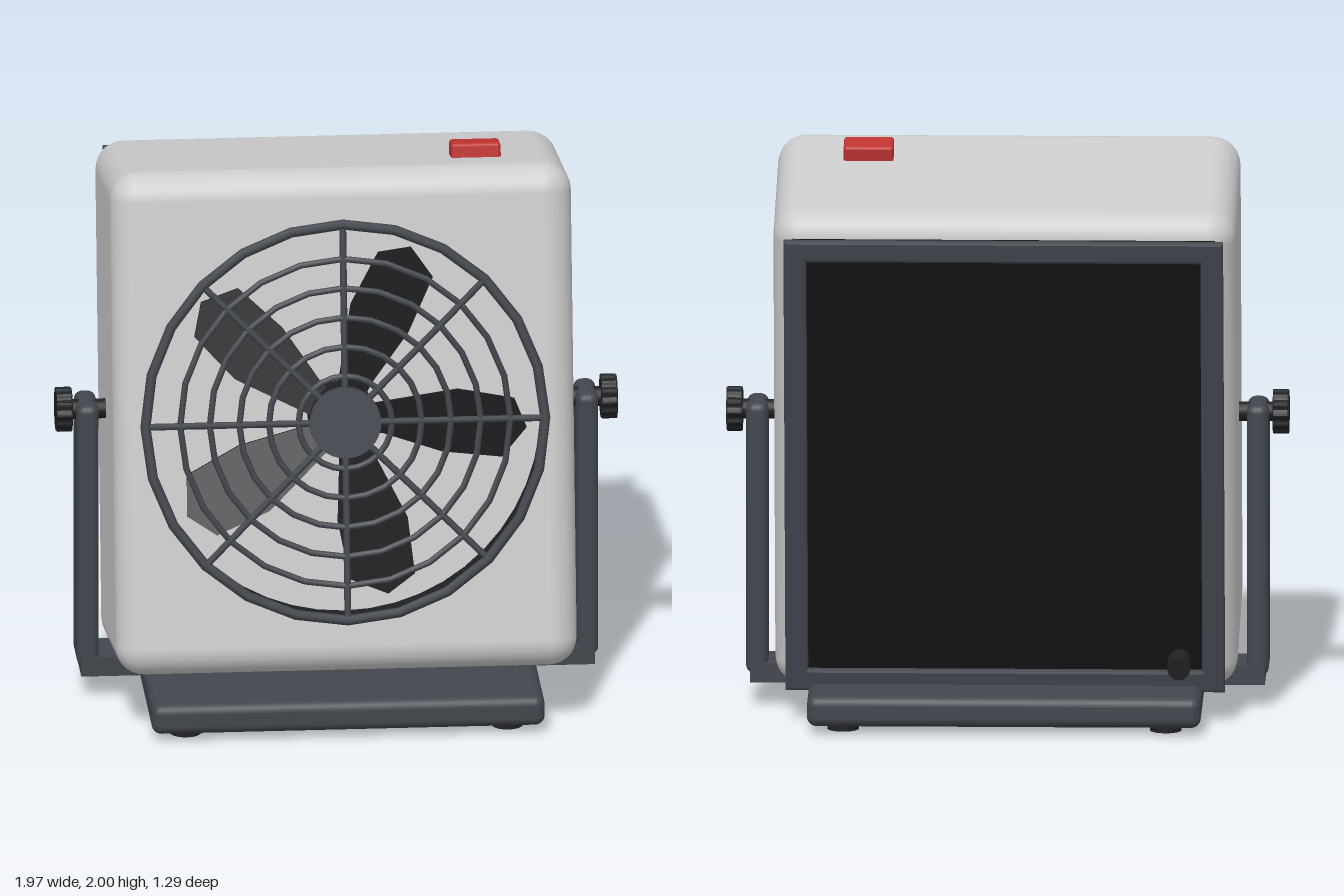
import * as THREE from 'three';
import { RoundedBoxGeometry } from 'three/addons/geometries/RoundedBoxGeometry.js';

const mat = (color, extra = {}) => new THREE.MeshStandardMaterial({ color, ...extra });
const shell = mat(0xcccccc);
const slate = mat(0x42464d);
const dark = mat(0x1f2123);
const black = mat(0x141414);
const red = mat(0xc03330);

function add(parent, name, geometry, material, x = 0, y = 0, z = 0) {
  const mesh = new THREE.Mesh(geometry, material);
  mesh.name = name;
  mesh.position.set(x, y, z);
  parent.add(mesh);
  return mesh;
}
const rbox = (w, h, d, r) => new RoundedBoxGeometry(w, h, d, 4, r);
const cylZ = (r, len, n = 24) => new THREE.CylinderGeometry(r, r, len, n).rotateX(Math.PI / 2);

const W = 1.62, H = 1.785, D = 0.872, R = 0.1;
const FRONT = D / 2, HOLE = 0.7, FLOOR = FRONT - 0.2;

// Rounded housing with its flat front quad taken out
function housingGeometry() {
  const g = rbox(W, H, D, R);
  const p = g.attributes.position, n = g.attributes.normal;
  const pos = [], nor = [];
  for (let i = 0; i < p.count; i += 3) {
    if ([0, 1, 2].every(k => p.getZ(i + k) > FRONT - 1e-4)) continue;
    for (let k = i; k < i + 3; k++) {
      pos.push(p.getX(k), p.getY(k), p.getZ(k));
      nor.push(n.getX(k), n.getY(k), n.getZ(k));
    }
  }
  const out = new THREE.BufferGeometry();
  out.setAttribute('position', new THREE.Float32BufferAttribute(pos, 3));
  out.setAttribute('normal', new THREE.Float32BufferAttribute(nor, 3));
  return out;
}

// Rectangle outline centred on the origin
function rect(Type, w, h) {
  const s = new Type();
  s.moveTo(-w / 2, -h / 2);
  s.lineTo(w / 2, -h / 2);
  s.lineTo(w / 2, h / 2);
  s.lineTo(-w / 2, h / 2);
  s.closePath();
  return s;
}

function buildHousing(head) {
  add(head, 'housing', housingGeometry(), shell);
  const face = rect(THREE.Shape, W - 2 * R, H - 2 * R);
  face.holes.push(new THREE.Path().absarc(0, 0, HOLE, 0, Math.PI * 2, true));
  add(head, 'frontFace', new THREE.ShapeGeometry(face, 32), shell, 0, 0, FRONT);
  const duct = new THREE.CylinderGeometry(HOLE, HOLE, 0.21, 48, 1, true).rotateX(Math.PI / 2);
  add(head, 'duct', duct, mat(0x1f2123, { side: THREE.DoubleSide }), 0, 0, FLOOR + 0.105);
  add(head, 'ductFloor', new THREE.CircleGeometry(HOLE, 48), shell, 0, 0, FLOOR);
  add(head, 'powerSwitch', rbox(0.175, 0.07, 0.11, 0.012), red, 0.4875, 0.908, 0.165);
}

function buildFan(head) {
  const fan = new THREE.Group();
  fan.name = 'fan';
  fan.position.z = FLOOR + 0.1;
  head.add(fan);
  add(fan, 'fanHub', cylZ(0.12, 0.16), dark);
  // One pitched blade, repeated around the hub
  const outline = [[0.08, -0.05], [0.14, -0.06], [0.35, -0.135], [0.56, -0.16], [0.645, -0.05],
    [0.6, 0.06], [0.4, 0.1], [0.14, 0.06], [0.08, 0.05]];
  const blade = new THREE.ExtrudeGeometry(
    new THREE.Shape(outline.map(([x, y]) => new THREE.Vector2(x, y))),
    { depth: 0.015, bevelEnabled: false });
  const p = blade.attributes.position;
  for (let i = 0; i < p.count; i++) p.setZ(i, p.getZ(i) + 0.4 * p.getY(i));
  blade.computeVertexNormals();
  for (let i = 0; i < 5; i++) add(fan, 'fanBlade', blade, dark).rotation.z = i * Math.PI * 2 / 5;
}

function buildGrille(head) {
  const grille = new THREE.Group();
  grille.name = 'grille';
  grille.position.z = FRONT + 0.008;
  head.add(grille);
  add(grille, 'grilleRim', new THREE.TorusGeometry(0.702, 0.018, 8, 24), slate);
  for (let i = 0; i < 5; i++) {
    add(grille, 'grilleRing', new THREE.TorusGeometry(0.164 + i * 0.104, 0.011, 6, 24), slate);
  }
  const spoke = new THREE.CylinderGeometry(0.012, 0.012, 0.6, 8).translate(0, 0.4, 0);
  for (let i = 0; i < 8; i++) add(grille, 'grilleSpoke', spoke, slate).rotation.z = i * Math.PI / 4;
  add(grille, 'grilleCap', cylZ(0.125, 0.035, 32), slate, 0, 0, 0.002);
}

function buildFilter(head) {
  add(head, 'filterPanel', new THREE.BoxGeometry(1.48, 1.63, 0.09), black, 0, 0, -FRONT - 0.04);
  const frame = rect(THREE.Shape, 1.52, 1.675);
  frame.holes.push(rect(THREE.Path, 1.4, 1.555));
  const geometry = new THREE.ExtrudeGeometry(frame, {
    depth: 0.012, bevelThickness: 0.01, bevelSize: 0.01, bevelSegments: 2 });
  add(head, 'filterFrame', geometry, slate, 0, 0, -0.533);
  add(head, 'filterKnob', cylZ(0.04, 0.1, 20), dark, -0.61, -0.73, -0.565);
}

// Scalloped clamp knob lying along x
function knobGeometry() {
  const s = new THREE.Shape();
  for (let i = 0; i < 72; i++) {
    const a = i / 72 * Math.PI * 2, r = 0.076 + 0.004 * Math.cos(a * 12);
    s[i ? 'lineTo' : 'moveTo'](r * Math.cos(a), r * Math.sin(a));
  }
  return new THREE.ExtrudeGeometry(s, { depth: 0.045, bevelThickness: 0.006, bevelSize: 0.004,
    bevelOffset: -0.004, bevelSegments: 2 }).translate(0, 0, -0.0225).rotateY(Math.PI / 2);
}

function buildStand(root) {
  add(root, 'base', rbox(1.38, 0.11, 1.22, 0.035), slate, 0, 0.083, 0.03);
  const knob = knobGeometry();
  for (const s of [-1, 1]) {
    add(root, 'standArm', rbox(0.077, 0.97, 0.205, 0.03), slate, s * 0.877, 0.595, 0.033);
    add(root, 'armFoot', new THREE.BoxGeometry(0.23, 0.07, 0.205), slate, s * 0.787, 0.117, 0.033);
    const pin = new THREE.CylinderGeometry(0.035, 0.035, 0.16, 16).rotateZ(Math.PI / 2);
    add(root, 'pivotPin', pin, dark, s * 0.87, 1.04, 0.035);
    add(root, 'clampKnob', knob, dark, s * 0.957, 1.04, 0.035);
    for (const z of [0.52, -0.455]) {
      add(root, 'rubberFoot', new THREE.CylinderGeometry(0.055, 0.055, 0.04, 20), dark, s * 0.565, 0.02, z);
    }
  }
}

export function createModel() {
  const root = new THREE.Group();
  root.name = 'tiltingFan';
  // Head leans back on the stand pivots
  const head = new THREE.Group();
  head.name = 'head';
  head.position.set(0, 1.04, 0.035);
  head.rotation.x = -THREE.MathUtils.degToRad(10);
  root.add(head);
  buildHousing(head);
  buildFan(head);
  buildGrille(head);
  buildFilter(head);
  buildStand(root);
  return root;
}
